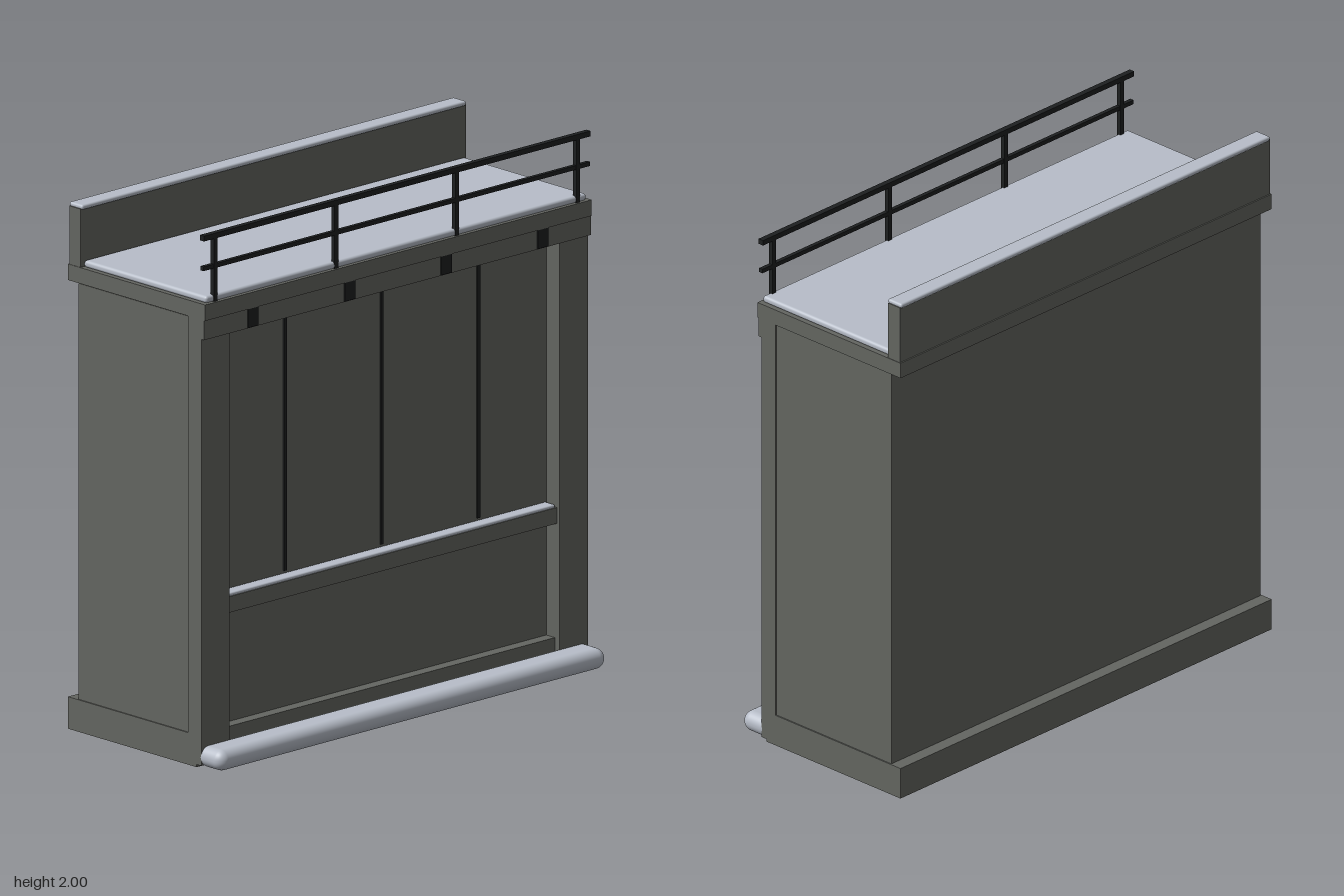
import * as THREE from 'three';
import { RoundedBoxGeometry } from 'three/addons/geometries/RoundedBoxGeometry.js';

const material = (name, color) => {
  const m = new THREE.MeshStandardMaterial({ color });
  m.name = name;
  return m;
};

export function createModel() {
  const concrete = material('concrete', 0x646661);
  const snow = material('snow', 0xb8bec9);
  const iron = material('dark iron', 0x1d1f20);

  const model = new THREE.Group();
  model.name = 'facadeBlock';

  // Places a box by its limits along each axis; a radius rounds the edges
  const box = (name, mat, [x0, x1], [y0, y1], [z0, z1], radius = 0) => {
    const size = [x1 - x0, y1 - y0, z1 - z0];
    const geometry = radius
      ? new RoundedBoxGeometry(...size, 4, radius)
      : new THREE.BoxGeometry(...size);
    const mesh = new THREE.Mesh(geometry, mat);
    mesh.name = name;
    mesh.position.set((x0 + x1) / 2, (y0 + y1) / 2, (z0 + z1) / 2);
    model.add(mesh);
  };
  const across = (x, width) => [x - width / 2, x + width / 2];

  // Walls and base
  box('body', concrete, [-0.955, 0.955], [0.12, 1.68], [-0.35, 0.225]);
  box('plinth', concrete, [-0.96, 0.96], [0, 0.12], [-0.4, 0.27]);
  for (const side of [-1, 1]) {
    box('frontPier', concrete, across(side * 0.89, 0.14), [0.01, 1.68], [0.225, 0.295]);
  }

  // Ledge with settled snow
  box('ledge', concrete, [-0.82, 0.82], [0.55, 0.61], [0.225, 0.28]);
  box('ledgeSnow', snow, [-0.815, 0.815], [0.608, 0.622], [0.225, 0.278], 0.006);

  // Panel joints
  for (const x of [-0.48, 0, 0.48]) {
    box('panelJoint', iron, across(x, 0.014), [0.63, 1.59], [0.224, 0.231]);
  }

  // Lintel, brackets and roof slab
  box('lintel', concrete, [-0.96, 0.96], [1.61, 1.685], [0.225, 0.31]);
  for (const x of [-0.72, -0.24, 0.24, 0.72]) {
    box('bracket', iron, across(x, 0.052), [1.613, 1.683], [0.295, 0.315]);
  }
  box('roofSlab', concrete, [-0.96, 0.96], [1.683, 1.743], [-0.4, 0.315]);
  box('roofSnow', snow, [-0.945, 0.945], [1.742, 1.768], [-0.335, 0.305], 0.011);

  // Rear parapet
  box('parapet', concrete, [-0.958, 0.958], [1.743, 1.962], [-0.395, -0.337]);
  box('parapetSnow', snow, [-0.955, 0.955], [1.958, 1.976], [-0.4, -0.33], 0.008);

  // Front railing
  box('topRail', iron, [-0.96, 0.96], [1.98, 2], [0.287, 0.309]);
  box('middleRail', iron, [-0.96, 0.96], [1.868, 1.884], [0.29, 0.306]);
  for (const x of [-0.9, -0.3, 0.3, 0.9]) {
    box('railPost', iron, across(x, 0.018), [1.743, 1.985], [0.289, 0.307]);
  }

  // Snow bank along the foot
  box('footSnow', snow, [-0.962, 0.962], [0.002, 0.08], [0.265, 0.4], 0.038);

  return model;
}
